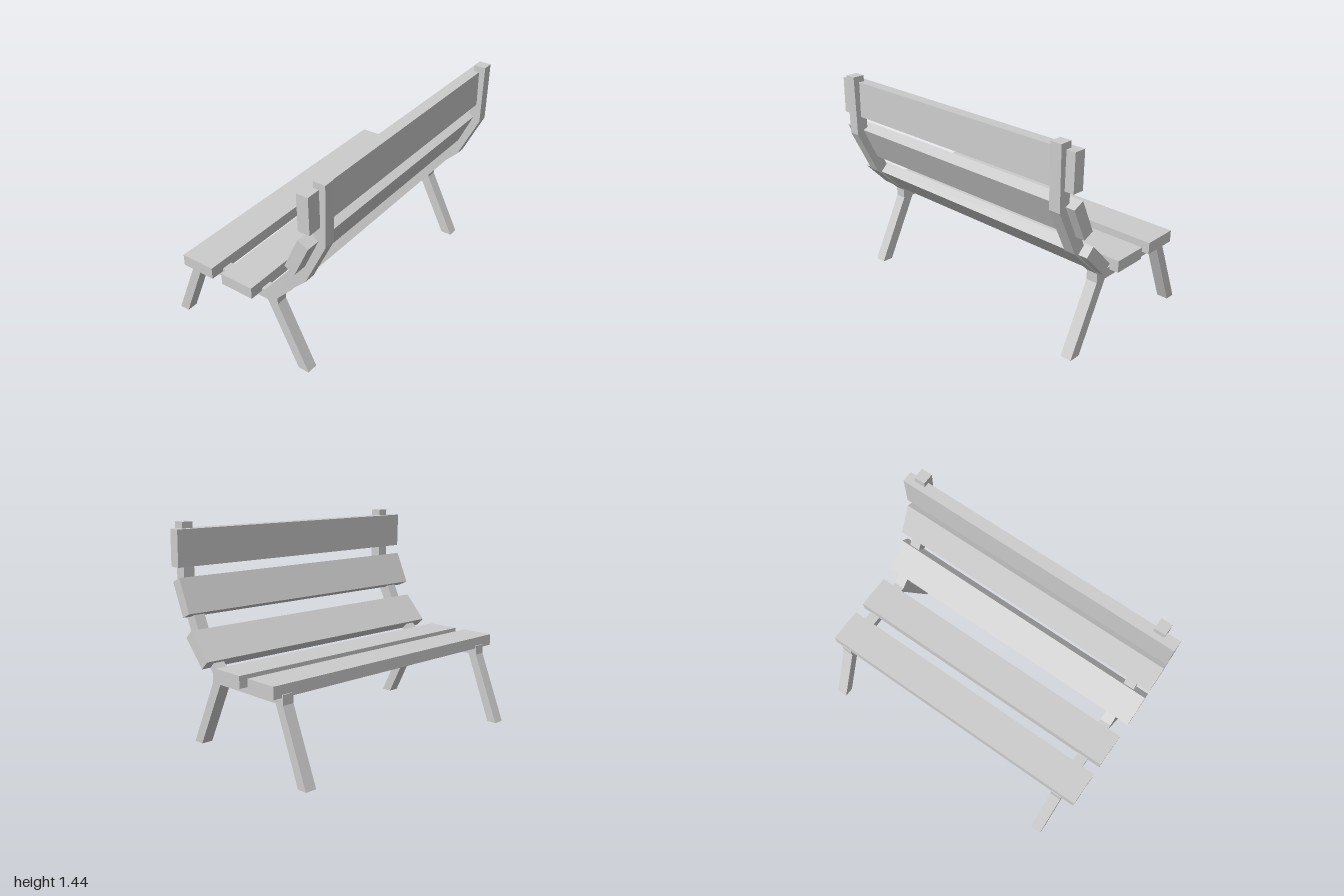
import * as THREE from 'three';

const material = new THREE.MeshStandardMaterial({ color: 0xcccccc, flatShading: true });

// Side profile of one frame: front leg, seat rail, rear leg and bent back post
const FRAME = [
  [-0.617, 0], [-0.548, 0], [-0.363, 0.465], [0.178, 0.465],
  [0.403, 0.027], [0.48, 0.027], [0.256, 0.465], [0.256, 0.528],
  [0.472, 0.742], [0.615, 1.045], [0.615, 1.444], [0.535, 1.444],
  [0.535, 1.075], [0.369, 0.719], [0.178, 0.528], [-0.428, 0.528], [-0.428, 0.465],
];
const FRAME_WIDTH = 0.077;

// Planks: name, centre x, centre y, tilt in degrees
const SLATS = [
  ['frontSeatSlat', -0.302, 0.548, 0],
  ['rearSeatSlat', 0.015, 0.548, 0],
  ['lowerBackSlat', 0.332, 0.669, 46.9],
  ['middleBackSlat', 0.483, 0.977, 65.8],
  ['upperBackSlat', 0.538, 1.284, 91.5],
];

export function createModel() {
  const bench = new THREE.Group();
  bench.name = 'bench';

  // Two identical end frames
  const shape = new THREE.Shape(FRAME.map(([x, y]) => new THREE.Vector2(x, y)));
  const frameGeometry = new THREE.ExtrudeGeometry(shape, { depth: FRAME_WIDTH, bevelEnabled: false });
  frameGeometry.translate(0, 0, -FRAME_WIDTH / 2);
  for (const [name, z] of [['nearFrame', 0.868], ['farFrame', -0.9]]) {
    const frame = new THREE.Mesh(frameGeometry, material);
    frame.name = name;
    frame.position.z = z;
    bench.add(frame);
  }

  // Seat and back planks
  const slatGeometry = new THREE.BoxGeometry(0.238, 0.078, 2);
  for (const [name, x, y, tilt] of SLATS) {
    const slat = new THREE.Mesh(slatGeometry, material);
    slat.name = name;
    slat.position.set(x, y, 0);
    slat.rotation.z = THREE.MathUtils.degToRad(tilt);
    bench.add(slat);
  }
  return bench;
}
